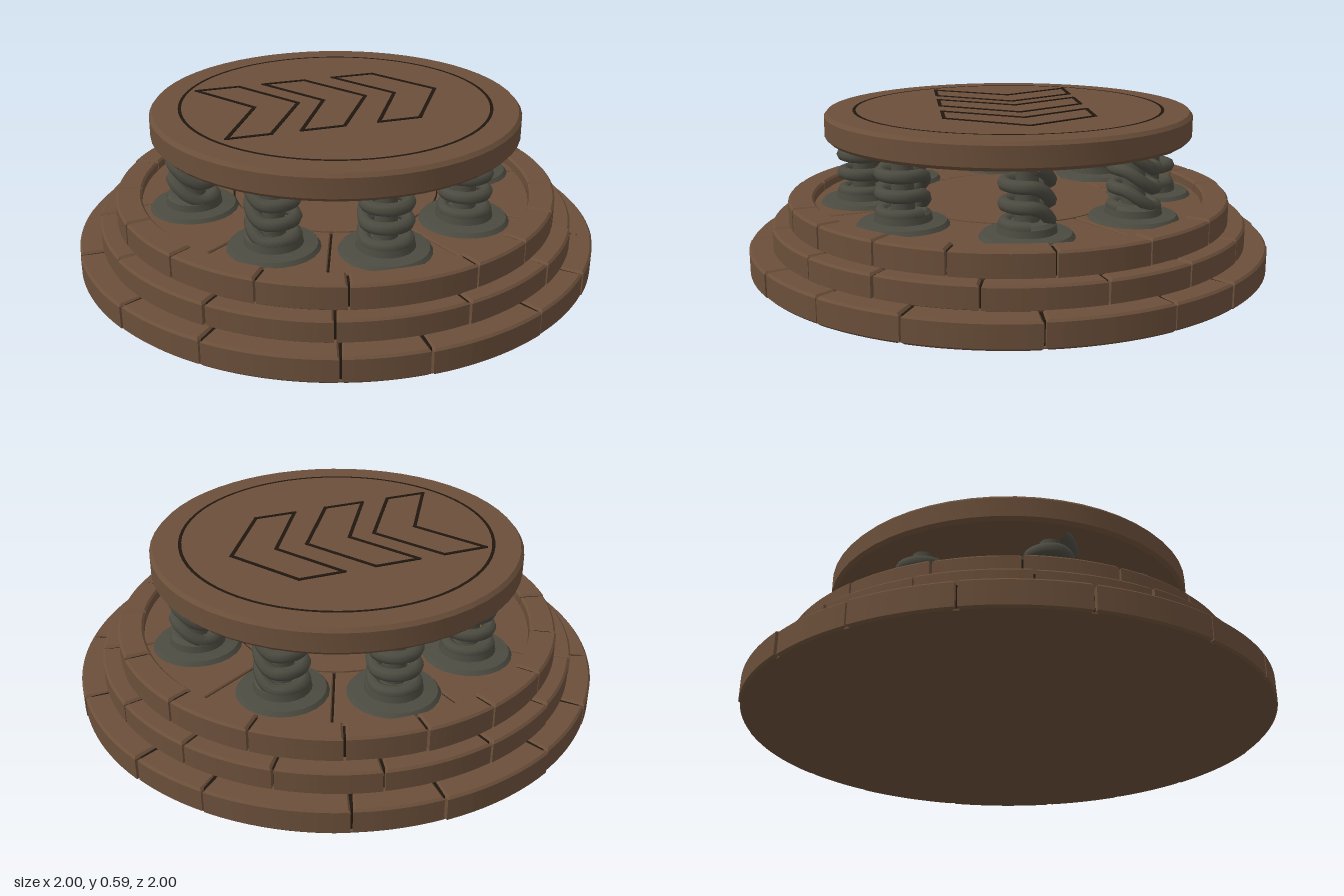
import * as THREE from 'three';
import { mergeGeometries, toCreasedNormals } from 'three/addons/utils/BufferGeometryUtils.js';

const stone = new THREE.MeshStandardMaterial({ color: 0x6b4f3a });
stone.name = 'brown stone';
const joint = new THREE.MeshStandardMaterial({ color: 0x20170f });
joint.name = 'dark joint';
const metal = new THREE.MeshStandardMaterial({ color: 0x4c4b41 });
metal.name = 'grey metal';

let seed = 7;
const rand = () => (seed = (seed * 16807) % 2147483647) / 2147483647;
const rad = THREE.MathUtils.degToRad;

function add(parent, name, geometry, material) {
  const mesh = new THREE.Mesh(geometry, material);
  mesh.name = name;
  parent.add(mesh);
  return mesh;
}

function lathe(points, segments) {
  const pts = points.map(([x, y]) => new THREE.Vector2(x, y));
  return toCreasedNormals(new THREE.LatheGeometry(pts, segments), 0.5);
}

// One bevelled block shaped like a slice of a ring
function block(r0, r1, a0, a1, y0, y1, bevel = 0.008) {
  const gapOut = (bevel + 0.004) / r1, gapIn = (bevel + 0.004) / r0;
  const shape = new THREE.Shape();
  shape.absarc(0, 0, r1 - bevel, a0 + gapOut, a1 - gapOut, false);
  shape.absarc(0, 0, r0 + bevel, a1 - gapIn, a0 + gapIn, true);
  const g = new THREE.ExtrudeGeometry(shape, {
    depth: y1 - y0 - 2 * bevel, bevelThickness: bevel, bevelSize: bevel,
    bevelSegments: 1, curveSegments: 5,
  });
  g.rotateX(Math.PI / 2);
  g.translate(0, y1 - bevel, 0);
  return g;
}

// Ring of blocks, joints given in degrees from +x towards +z
function blockRing(r0, r1, y0, y1, angles, wear, bevel) {
  return mergeGeometries(angles.map((a, i) => {
    const next = i + 1 < angles.length ? angles[i + 1] : angles[0] + 360;
    return block(r0, r1 - rand() * wear, rad(a), rad(next), y0, y1 - rand() * wear * 0.5, bevel);
  }));
}

// Stepped circular base
function makeBase() {
  const base = new THREE.Group();
  base.name = 'base';
  add(base, 'jointCore', lathe([
    [0, 0.003], [0.975, 0.003], [0.975, 0.09], [0.89, 0.092], [0.89, 0.172], [0.826, 0.172],
    [0.826, 0.26], [0.765, 0.26], [0.765, 0.226], [0, 0.226],
  ], 64), joint);
  const bottom = add(base, 'underside', new THREE.CylinderGeometry(0.984, 0.984, 0.006, 64), stone);
  bottom.position.y = 0.003;
  add(base, 'lowerStep', blockRing(0.8, 1, 0, 0.1, [0, 26, 45, 64, 90, 107, 134, 155, 180,
    204, 225, 244, 270, 288, 317, 334], 0.008), stone);
  add(base, 'middleStep', blockRing(0.74, 0.915, 0.09, 0.182, [12, 35, 54, 79, 108, 136, 165, 190,
    214, 236, 256, 281, 304, 325, 346], 0.008), stone);
  add(base, 'upperRim', blockRing(0.75, 0.85, 0.172, 0.27, [-4, 20, 38, 57, 74, 105, 126, 149, 170,
    192, 212, 233, 252, 270, 289, 311, 333], 0.006), stone);
  add(base, 'floorSlabs', blockRing(0.4, 0.752, 0.2, 0.236, [5, 40, 72, 110, 146, 185, 222, 256, 292, 330],
    0.003, 0.004), stone);
  const hub = add(base, 'floorCentre', new THREE.CylinderGeometry(0.395, 0.395, 0.03, 40), stone);
  hub.position.y = 0.22;
  return base;
}

// Coil whose turns lie almost flat and climb along one short stretch
class CoilCurve extends THREE.Curve {
  getPoint(t, target = new THREE.Vector3()) {
    const turns = t * 2.95, f = turns % 1;
    const y = 0.282 + 0.07 * (Math.floor(turns) + THREE.MathUtils.smoothstep(f, 0.7, 1));
    const a = turns * Math.PI * 2;
    return target.set(0.077 * Math.cos(a), y, 0.077 * Math.sin(a));
  }
}

const coilGeometry = new THREE.TubeGeometry(new CoilCurve(), 90, 0.024, 8);
const postGeometry = new THREE.CylinderGeometry(0.038, 0.046, 0.26, 10);
const padGeometry = lathe([[0.17, 0.23], [0.155, 0.25], [0.105, 0.255], [0.1, 0.28], [0.085, 0.292], [0, 0.292]], 24);

function makeSpring(x, z) {
  const spring = new THREE.Group();
  spring.name = 'spring';
  add(spring, 'springPad', padGeometry, metal);
  add(spring, 'springCoil', coilGeometry, metal);
  add(spring, 'springPost', postGeometry, metal).position.y = 0.365;
  spring.position.set(x, 0, z);
  // The climbing stretch of each coil faces the centre
  spring.rotation.y = Math.atan2(z, x);
  return spring;
}

// Round top plate with engraved ring and arrows
function makePlate() {
  const plate = new THREE.Group();
  plate.name = 'topPlate';
  add(plate, 'disc', lathe([
    [0, 0.49], [0.69, 0.49], [0.702, 0.503], [0.702, 0.576], [0.69, 0.59], [0, 0.59],
  ], 56), stone);
  const ring = new THREE.RingGeometry(0.583, 0.595, 72);
  ring.rotateX(-Math.PI / 2);
  add(plate, 'engravedRing', ring, joint).position.y = 0.592;

  // Each arrow outline is a closed run of thin strips
  const strip = (a, b) => {
    const dx = b[0] - a[0], dz = b[1] - a[1];
    const g = new THREE.BoxGeometry(Math.hypot(dx, dz) + 0.01, 0.004, 0.013);
    g.rotateY(-Math.atan2(dz, dx));
    g.translate((a[0] + b[0]) / 2, 0.591, (a[1] + b[1]) / 2);
    return g;
  };
  for (const x of [-0.48, -0.21, 0.08]) {
    const pts = [[0, -0.29], [0.17, -0.29], [0.34, -0.03], [0.16, 0.26], [0, 0.26], [0.17, -0.03]]
      .map(([px, pz]) => [x + px, pz]);
    add(plate, 'arrowOutline', mergeGeometries(pts.map((p, i) => strip(p, pts[(i + 1) % 6]))), joint);
  }
  return plate;
}

export function createModel() {
  const model = new THREE.Group();
  model.name = 'springPlatform';
  model.add(makeBase());
  for (const s of [-1, 1]) {
    model.add(makeSpring(0.56 * s, 0), makeSpring(0, 0.56 * s));
    for (const t of [-1, 1]) model.add(makeSpring(0.36 * s, 0.415 * t));
  }
  model.add(makePlate());
  return model;
}
